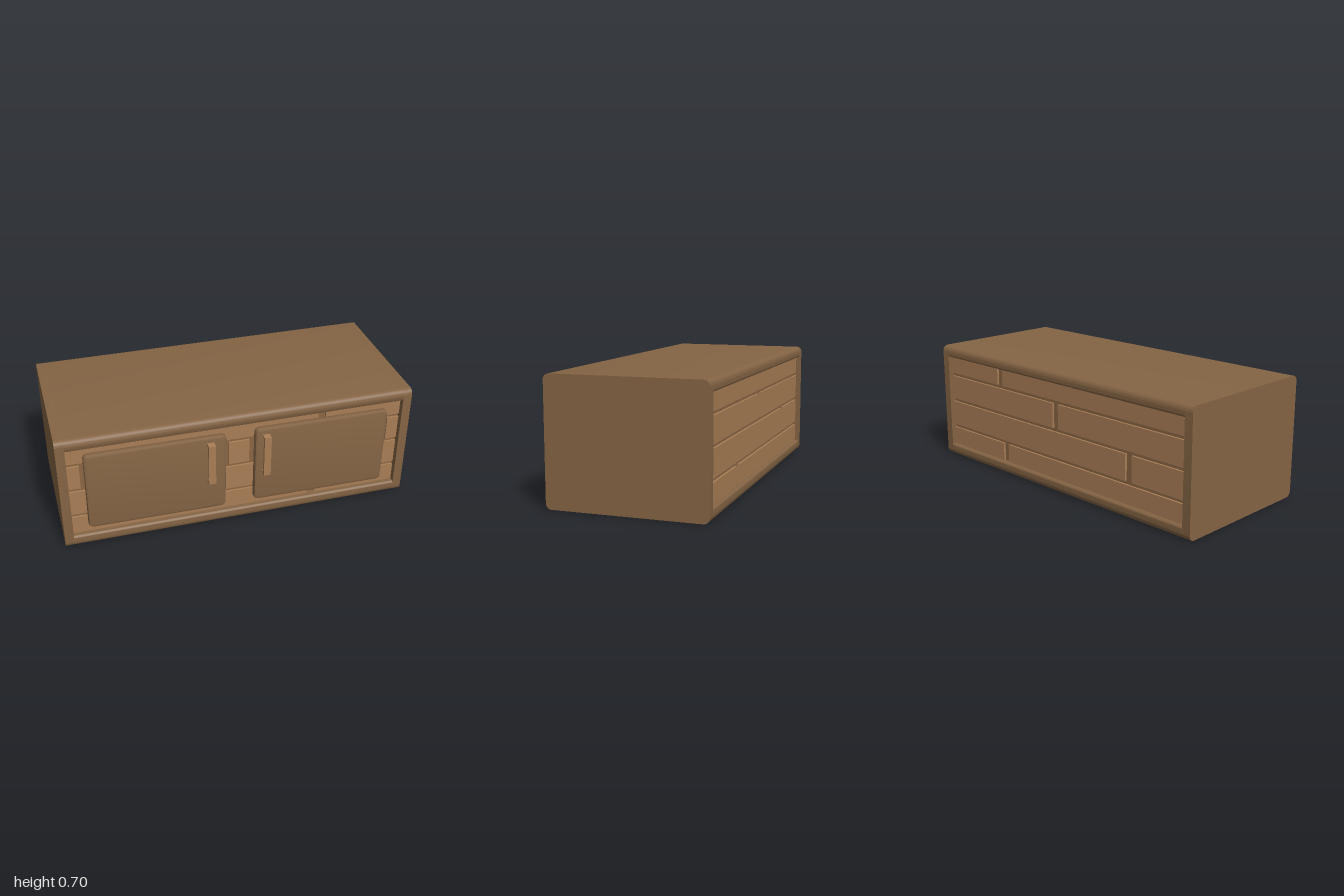
import * as THREE from 'three';
import { toCreasedNormals } from 'three/addons/utils/BufferGeometryUtils.js';

const FRONT = 0.42, BACK = -0.46, H = 0.7;

// rectangle with separate radii for the bottom and top corners
function rectShape(x0, y0, x1, y1, rb, rt) {
  const s = new THREE.Shape();
  s.moveTo(x0 + rb, y0);
  s.lineTo(x1 - rb, y0);
  if (rb) s.absarc(x1 - rb, y0 + rb, rb, -Math.PI / 2, 0);
  s.lineTo(x1, y1 - rt);
  if (rt) s.absarc(x1 - rt, y1 - rt, rt, 0, Math.PI / 2);
  s.lineTo(x0 + rt, y1);
  if (rt) s.absarc(x0 + rt, y1 - rt, rt, Math.PI / 2, Math.PI);
  s.lineTo(x0, y0 + rb);
  if (rb) s.absarc(x0 + rb, y0 + rb, rb, Math.PI, Math.PI * 1.5);
  return s;
}

export function createModel() {
  const model = new THREE.Group();
  model.name = 'cabinet';
  const mat = (name, color) => {
    const m = new THREE.MeshStandardMaterial({ color });
    m.name = name;
    return m;
  };
  const darkWood = mat('dark wood', 0x846444);
  const lightWood = mat('light wood', 0xa97e55);
  const grooveWood = mat('groove wood', 0x8b6644);

  const add = (parent, name, geo, material) => {
    const mesh = new THREE.Mesh(geo, material);
    mesh.name = name;
    parent.add(mesh);
    return mesh;
  };
  const box = (parent, name, material, x0, x1, y0, y1, z0, z1) => {
    const g = new THREE.BoxGeometry(x1 - x0, y1 - y0, z1 - z0);
    g.translate((x0 + x1) / 2, (y0 + y1) / 2, (z0 + z1) / 2);
    return add(parent, name, g, material);
  };
  // board whose z-y section is extruded from x0 to x1
  const board = (name, shape, x0, x1) => {
    const g = new THREE.ExtrudeGeometry(shape, { depth: x1 - x0, bevelEnabled: false, curveSegments: 4 });
    g.rotateY(-Math.PI / 2);
    g.translate(x1, 0, 0);
    add(model, name, toCreasedNormals(g, 0.7), darkWood);
  };

  // outer case
  const r = 0.033;
  const side = rectShape(BACK, 0, FRONT, H, r, r);
  board('rightSide', side, -1, -0.95);
  board('leftSide', side, 0.95, 1);
  board('topBoard', rectShape(BACK, 0.635, FRONT, H, 0.012, r), -0.95, 0.95);
  board('bottomBoard', rectShape(BACK, 0, FRONT, 0.07, r, 0.012), -0.95, 0.95);

  // planked walls: a groove-coloured backing with raised planks
  const rows = [[0.065, 0.178], [0.198, 0.348], [0.368, 0.512], [0.532, 0.64]];
  const plankWall = (name, zBack, zFace, joints) => {
    const wall = new THREE.Group();
    wall.name = name;
    model.add(wall);
    const dir = Math.sign(zFace);
    const inner = zBack - dir * 0.02;
    box(wall, 'backing', grooveWood, -0.95, 0.95, 0.06, 0.645,
      Math.min(inner, zBack), Math.max(inner, zBack));
    rows.forEach(([y0, y1], i) => {
      const cuts = [-0.972, ...joints[i], 0.972];
      for (let k = 0; k + 1 < cuts.length; k++) {
        box(wall, 'plank', lightWood, cuts[k] + 0.022, cuts[k + 1] - 0.022, y0, y1,
          Math.min(zBack, zFace), Math.max(zBack, zFace));
      }
    });
  };
  plankWall('frontPlanks', 0.375, 0.387, [[0.44], [-0.56], [-0.86, -0.078, 0.082, 0.86], [0.48]]);
  plankWall('backPlanks', -0.425, -0.437, [[0.44], [-0.56], [0], [0.48]]);

  // doors with softened edges, hung very slightly out of true
  const bevel = 0.012, hw = 0.39, hh = 0.239;
  const doorShape = rectShape(-hw + bevel, -hh + bevel, hw - bevel, hh - bevel, 0.015, 0.015);
  const doorGeo = toCreasedNormals(new THREE.ExtrudeGeometry(doorShape, {
    depth: 0.02, bevelEnabled: true, bevelSize: bevel, bevelThickness: bevel,
    bevelSegments: 2, curveSegments: 3,
  }), 0.7);
  for (const [name, x, hx] of [['rightDoor', -0.47, -0.17], ['leftDoor', 0.475, 0.145]]) {
    const door = add(model, name, doorGeo, darkWood);
    door.position.set(x, 0.349, 0.388);
    door.rotation.z = -0.006;

    // pull handle: grip on two short posts
    const handle = new THREE.Group();
    handle.name = name + 'Handle';
    model.add(handle);
    const a = hx - 0.02, b = hx + 0.02;
    box(handle, 'grip', lightWood, a, b, 0.305, 0.555, 0.443, 0.46);
    box(handle, 'lowerPost', lightWood, a, b, 0.305, 0.318, 0.415, 0.443);
    box(handle, 'upperPost', lightWood, a, b, 0.542, 0.555, 0.415, 0.443);
  }
  return model;
}
